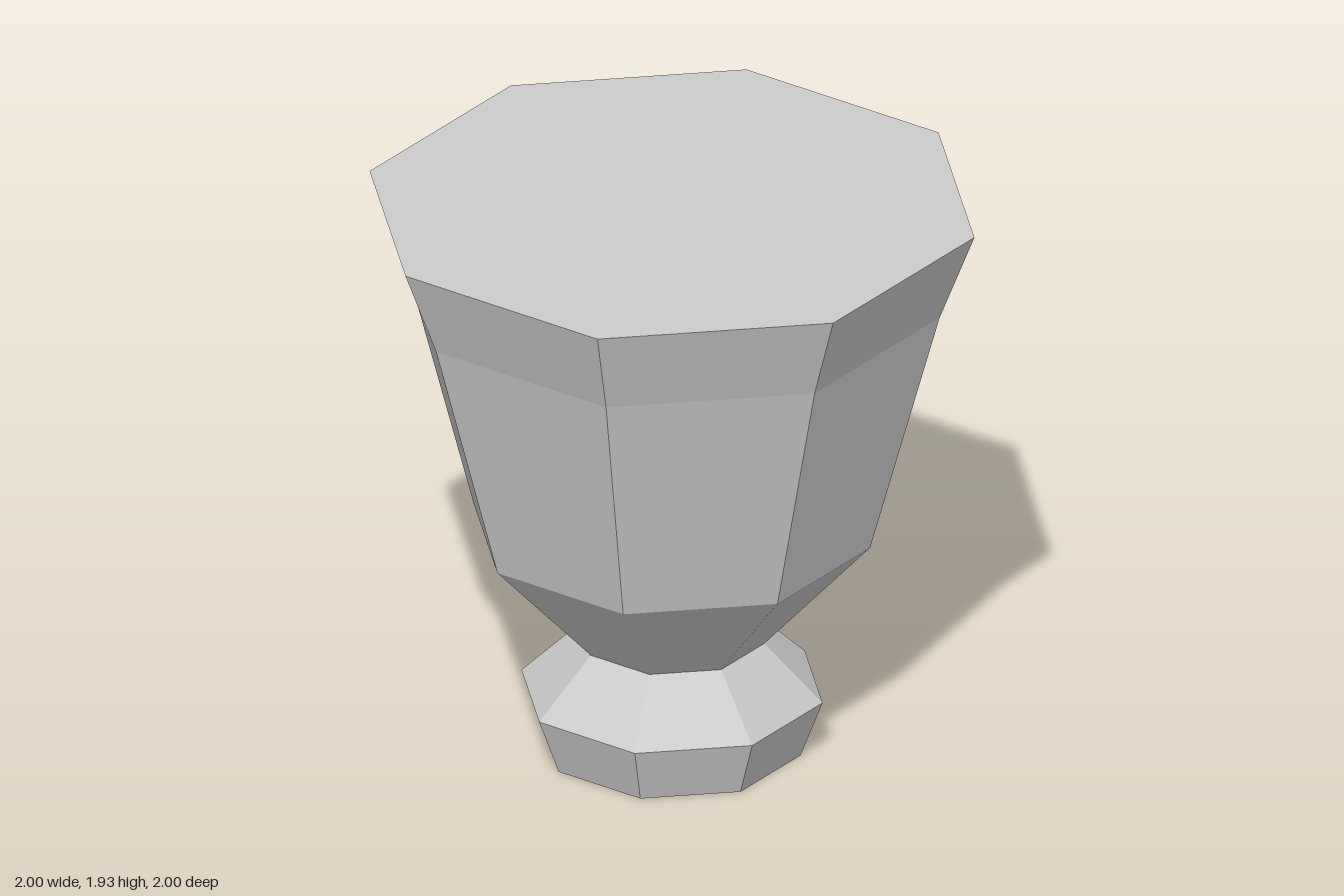
import * as THREE from 'three';

const SIDES = 8;

// Faceted eight-sided solid from a [radius, height] profile, listed bottom to top
function facetedPart(name, profile, material) {
  const points = profile.map(([r, y]) => new THREE.Vector2(r, y));
  const mesh = new THREE.Mesh(new THREE.LatheGeometry(points, SIDES), material);
  mesh.name = name;
  return mesh;
}

export function createModel() {
  const stone = new THREE.MeshStandardMaterial({ color: 0xcccccc });
  stone.name = 'pale grey';
  stone.flatShading = true;

  const group = new THREE.Group();
  group.name = 'goblet';

  // Foot: closed underneath, flares out and then narrows to the neck
  group.add(facetedPart('foot', [[0, 0], [0.425, 0], [0.498, 0.197], [0.305, 0.387]], stone));

  // Bowl: widens from the neck to the rim, closed by a flat top
  group.add(facetedPart('bowl', [[0.305, 0.387], [0.655, 0.772], [0.885, 1.625], [1, 1.926], [0, 1.926]], stone));

  return group;
}
